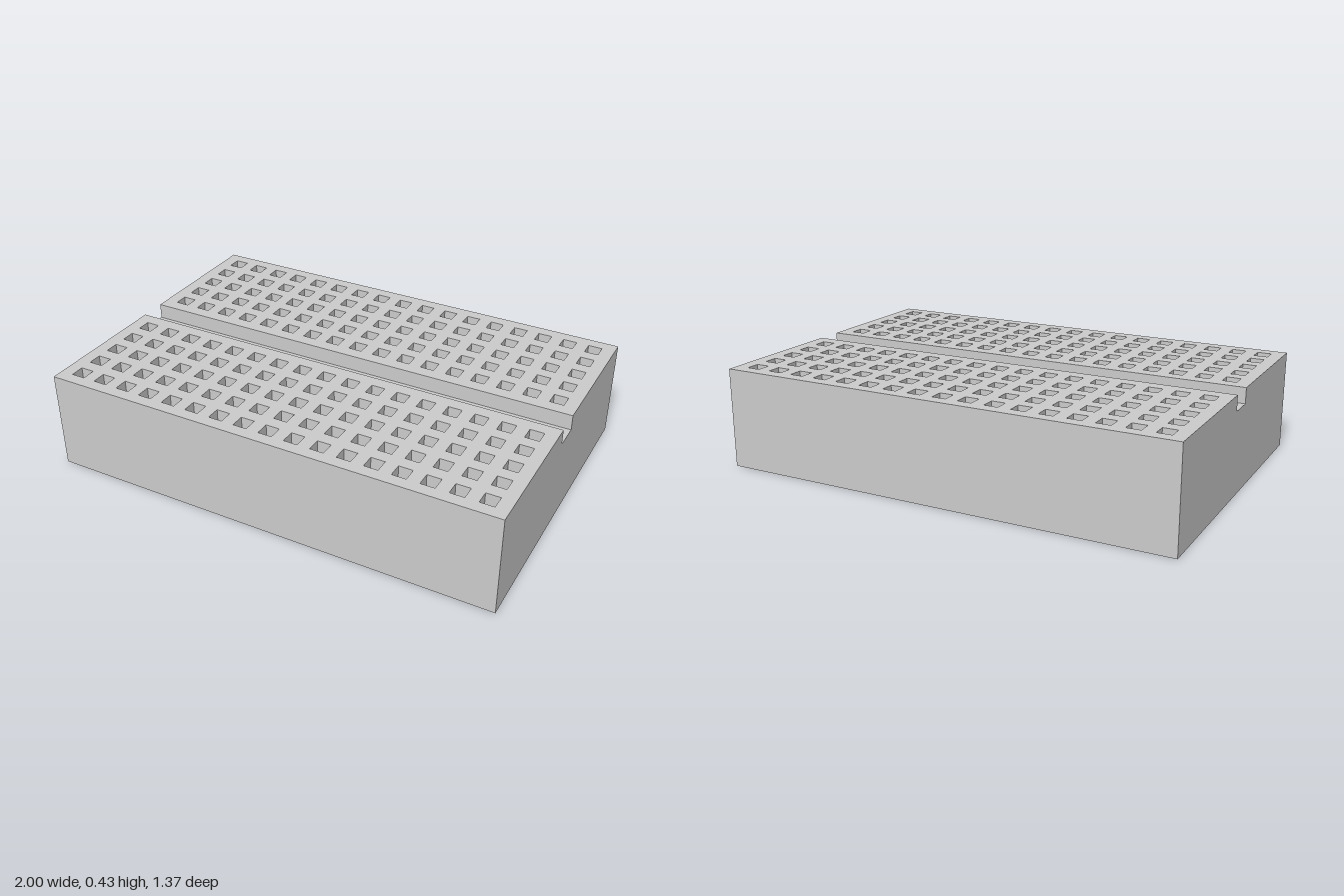
import * as THREE from 'three';
import { mergeGeometries } from 'three/addons/utils/BufferGeometryUtils.js';

const H = 0.433, HALF_X = 1, HALF_Z = 0.683;      // block
const GROOVE = 0.057, GROOVE_Y = 0.366;           // centre channel
const PITCH = 0.1142, HOLE = 0.06, DEPTH = 0.2;   // socket grid
const COLS = 17, ROWS = 5, FIRST_ROW = 0.144;

// Grooved block swept along x, with its top faces left open for the perforated decks
function blockGeometry() {
  const profile = new THREE.Shape([
    [-HALF_Z, 0], [HALF_Z, 0], [HALF_Z, H], [GROOVE, H],
    [GROOVE, GROOVE_Y], [-GROOVE, GROOVE_Y], [-GROOVE, H], [-HALF_Z, H],
  ].map(([z, y]) => new THREE.Vector2(z, y)));
  const swept = new THREE.ExtrudeGeometry(profile, { depth: 2 * HALF_X, bevelEnabled: false });
  swept.translate(0, 0, -HALF_X).rotateY(Math.PI / 2);
  const p = swept.attributes.position, kept = [];
  for (let i = 0; i < p.count; i += 3) {
    const isTop = [0, 1, 2].every((k) => Math.abs(p.getY(i + k) - H) < 1e-4);
    if (!isTop) for (let k = 0; k < 3; k++) kept.push(p.getX(i + k), p.getY(i + k), p.getZ(i + k));
  }
  const g = new THREE.BufferGeometry();
  g.setAttribute('position', new THREE.Float32BufferAttribute(kept, 3));
  g.computeVertexNormals();
  return g;
}

// Rectangle corners in the deck plane
function rect(x0, y0, x1, y1) {
  return [[x0, y0], [x1, y0], [x1, y1], [x0, y1]].map(([x, y]) => new THREE.Vector2(x, y));
}

// Square socket lining: a box without its lid, turned inside out
function socketGeometry() {
  const g = new THREE.BoxGeometry(HOLE, DEPTH, HOLE);
  const index = Array.from(g.index.array);
  index.splice(12, 6);
  g.setIndex(index.reverse());
  const n = g.attributes.normal;
  for (let i = 0; i < n.count; i++) n.setXYZ(i, -n.getX(i), -n.getY(i), -n.getZ(i));
  return g;
}

export function createModel() {
  const group = new THREE.Group();
  group.name = 'solderlessBoard';
  const material = new THREE.MeshStandardMaterial({ color: 0xcccccc });
  const add = (name, geometry) => {
    const mesh = new THREE.Mesh(geometry, material);
    mesh.name = name;
    group.add(mesh);
  };

  add('block', blockGeometry());

  // One perforated deck and its sockets on each side of the channel
  for (const [side, s] of [['front', 1], ['back', -1]]) {
    const near = s > 0 ? -HALF_Z : GROOVE, far = s > 0 ? -GROOVE : HALF_Z;
    const deck = new THREE.Shape(rect(-HALF_X, near, HALF_X, far));
    const sockets = [], h = HOLE / 2;
    for (let r = 0; r < ROWS; r++) {
      const z = s * (FIRST_ROW + r * PITCH);
      for (let c = 0; c < COLS; c++) {
        const x = (c - (COLS - 1) / 2) * PITCH;
        deck.holes.push(new THREE.Path(rect(x - h, -z - h, x + h, -z + h).reverse()));
        sockets.push(socketGeometry().translate(x, H - DEPTH / 2, z));
      }
    }
    add(side + 'Deck', new THREE.ShapeGeometry(deck).rotateX(-Math.PI / 2).translate(0, H, 0));
    add(side + 'Sockets', mergeGeometries(sockets));
  }
  return group;
}
